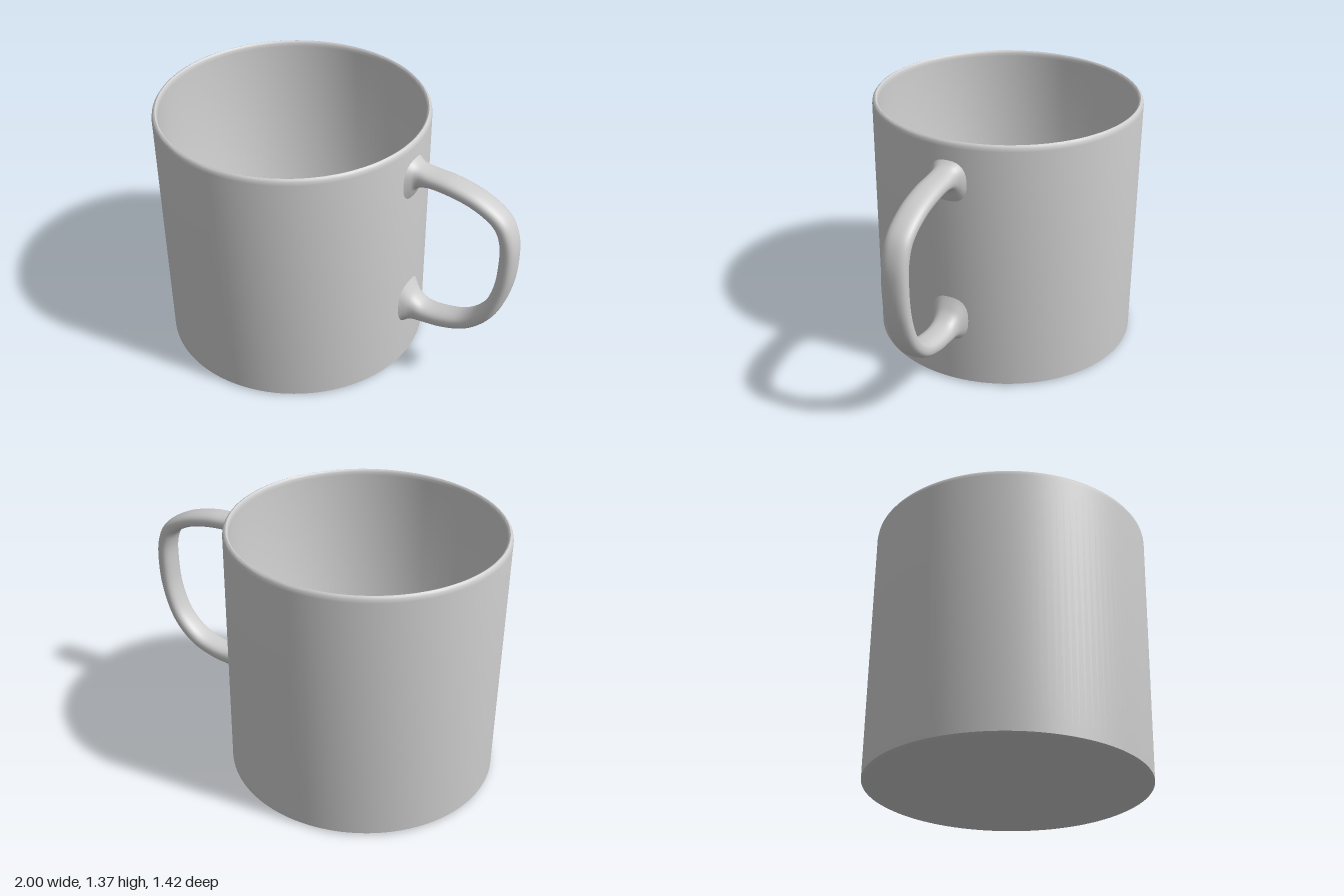
import * as THREE from 'three';
import { toCreasedNormals } from 'three/addons/utils/BufferGeometryUtils.js';

const material = new THREE.MeshStandardMaterial({ color: 0xcccccc });

// Hollow cup turned from a single wall profile: base, outside, rim, inside, floor
function createCup() {
  const profile = [
    [0, 0], [0.58, 0], [0.695, 0.005], [0.708, 0.012],
    [0.709, 1.335], [0.706, 1.352], [0.699, 1.362], [0.692, 1.365],
    [0.686, 1.362], [0.681, 1.352], [0.679, 1.335],
    [0.679, 0.05], [0.669, 0.037], [0.65, 0.032], [0, 0.032],
  ].map(([r, y]) => new THREE.Vector2(r, y));
  const cup = new THREE.Mesh(toCreasedNormals(new THREE.LatheGeometry(profile, 128), 0.7), material);
  cup.name = 'cup';
  cup.position.x = -0.29;
  return cup;
}

// Handle lofted between an outer and an inner edge curve, flaring where it meets the wall
function createHandle() {
  // outer x, outer y, inner x, inner y, half width
  const stations = [
    [0.395, 1.29, 0.395, 1.0, 0.115],
    [0.425, 1.262, 0.428, 1.07, 0.088],
    [0.455, 1.246, 0.455, 1.12, 0.07],
    [0.51, 1.234, 0.51, 1.143, 0.067],
    [0.64, 1.222, 0.62, 1.141, 0.068],
    [0.8, 1.178, 0.76, 1.11, 0.068],
    [0.93, 1.095, 0.868, 1.045, 0.067],
    [0.983, 0.99, 0.903, 0.965, 0.066],
    [0.996, 0.84, 0.91, 0.84, 0.066],
    [0.976, 0.67, 0.895, 0.68, 0.066],
    [0.908, 0.49, 0.84, 0.535, 0.067],
    [0.79, 0.368, 0.74, 0.438, 0.068],
    [0.65, 0.312, 0.62, 0.402, 0.068],
    [0.52, 0.293, 0.52, 0.4, 0.068],
    [0.46, 0.282, 0.468, 0.432, 0.073],
    [0.43, 0.265, 0.433, 0.48, 0.088],
    [0.395, 0.235, 0.395, 0.55, 0.115],
  ];
  const outer = new THREE.CatmullRomCurve3(stations.map((s) => new THREE.Vector3(s[0], s[1], s[4])));
  const inner = new THREE.CatmullRomCurve3(stations.map((s) => new THREE.Vector3(s[2], s[3], s[4])));
  const rings = 112, sides = 28;
  const soften = (v) => Math.sign(v) * Math.abs(v) ** 0.82;
  const positions = [], indices = [];

  for (let i = 0; i <= rings; i++) {
    const o = outer.getPoint(i / rings), n = inner.getPoint(i / rings);
    for (let j = 0; j < sides; j++) {
      const a = (j / sides) * Math.PI * 2;
      const k = soften(Math.cos(a)) / 2;
      positions.push(
        (o.x + n.x) / 2 + (o.x - n.x) * k,
        (o.y + n.y) / 2 + (o.y - n.y) * k,
        o.z * soften(Math.sin(a)),
      );
      if (i < rings) {
        const p = i * sides + j, q = i * sides + ((j + 1) % sides);
        indices.push(p, q, q + sides, p, q + sides, p + sides);
      }
    }
  }
  const geometry = new THREE.BufferGeometry();
  geometry.setAttribute('position', new THREE.Float32BufferAttribute(positions, 3));
  geometry.setIndex(indices);
  geometry.computeVertexNormals();
  const handle = new THREE.Mesh(geometry, material);
  handle.name = 'handle';
  return handle;
}

export function createModel() {
  const mug = new THREE.Group();
  mug.name = 'mug';
  mug.add(createCup(), createHandle());
  return mug;
}
